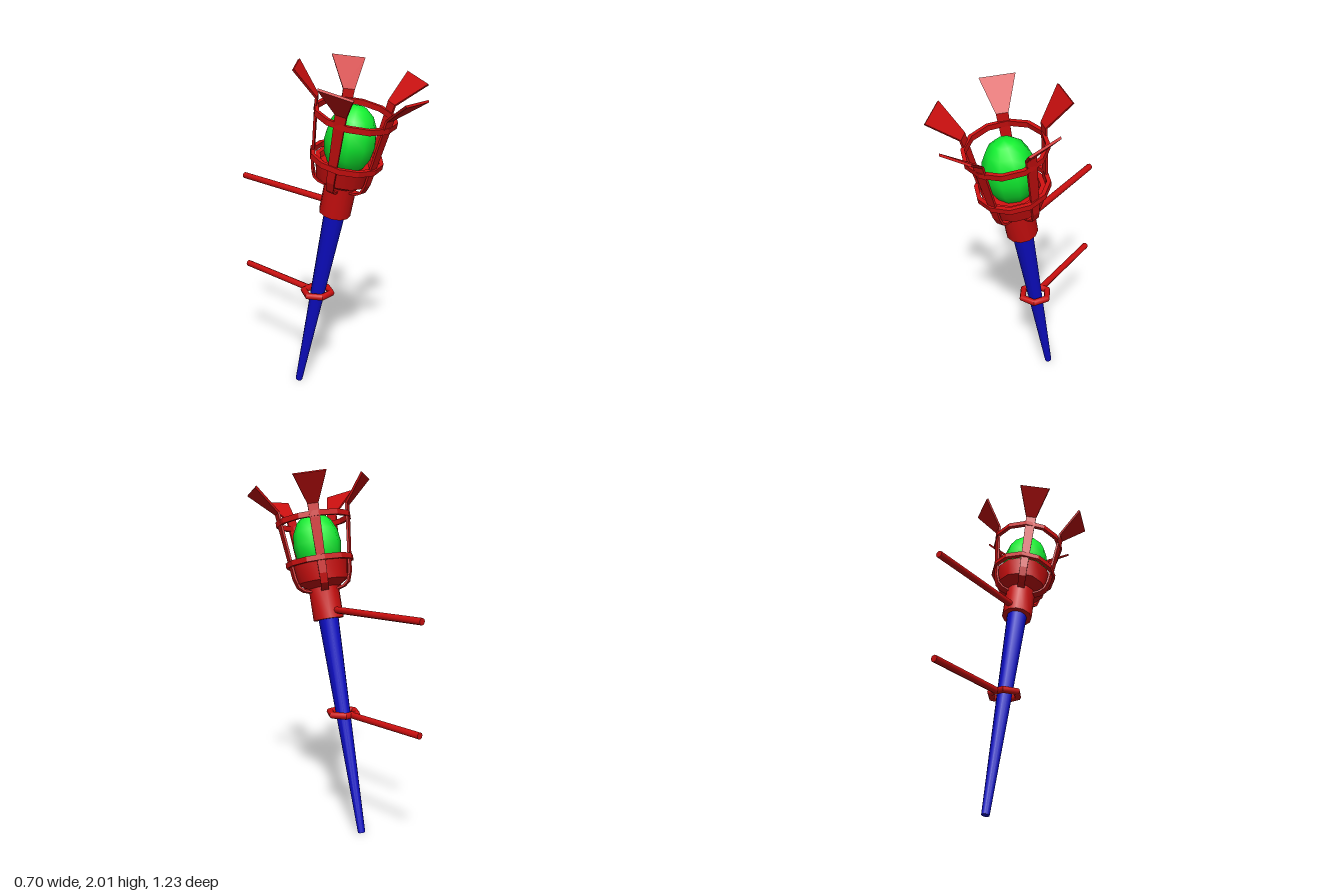
import * as THREE from 'three';
import { toCreasedNormals } from 'three/addons/utils/BufferGeometryUtils.js';

const V = (x, y) => new THREE.Vector2(x, y);
const red = new THREE.MeshStandardMaterial({ color: 0xcc0f0f });
const blue = new THREE.MeshStandardMaterial({ color: 0x0d0dc8 });
const green = new THREE.MeshStandardMaterial({ color: 0x10f030 });

function add(parent, name, geometry, material, y = 0, z = 0) {
  const mesh = new THREE.Mesh(geometry, material);
  mesh.name = name;
  mesh.position.set(0, y, z);
  parent.add(mesh);
  return mesh;
}

// Flat hoop with a rectangular section
function hoop(radius, height, thickness) {
  const i = radius - thickness, h = height / 2;
  const profile = [V(i, -h), V(radius, -h), V(radius, h), V(i, h), V(i, -h)];
  return toCreasedNormals(new THREE.LatheGeometry(profile, 12), 0.3);
}

// Bent strap: a thin side profile, extruded and then flared towards the tip
function prongGeometry() {
  const path = [V(0.07, 1.385), V(0.12, 1.398), V(0.148, 1.42), V(0.165, 1.47),
    V(0.2, 1.768), V(0.208, 1.846), V(0.335, 1.98)];
  const half = 0.006;
  const sides = [1, -1].map(sign => path.map((p, i) => {
    const a = path[Math.max(i - 1, 0)], b = path[Math.min(i + 1, path.length - 1)];
    const d = b.clone().sub(a).normalize();
    return V(p.x + d.y * half * sign, p.y - d.x * half * sign);
  }));
  const shape = new THREE.Shape([...sides[0], ...sides[1].reverse()]);
  const geometry = new THREE.ExtrudeGeometry(shape, { depth: 1, bevelEnabled: false });
  geometry.translate(0, 0, -0.5);
  const pos = geometry.attributes.position;
  for (let i = 0; i < pos.count; i++) {
    const y = pos.getY(i);
    const neck = THREE.MathUtils.clamp((y - 1.45) / 0.396, 0, 1);
    const flare = Math.max(0, (y - 1.846) / 0.134);
    pos.setZ(i, pos.getZ(i) * (0.042 + 0.018 * neck + 0.12 * flare));
  }
  geometry.rotateY(-Math.PI / 2);
  geometry.computeVertexNormals();
  return geometry;
}

export function createModel() {
  const model = new THREE.Group();
  model.name = 'wallTorch';

  // Everything on the leaning axis
  const torch = new THREE.Group();
  torch.name = 'torch';
  torch.position.set(0, 0.005, -0.18);
  torch.rotation.x = THREE.MathUtils.degToRad(13.6);
  model.add(torch);

  add(torch, 'handle', toCreasedNormals(new THREE.CylinderGeometry(0.059, 0.021, 1.26, 12), 0.8), blue, 0.63);

  // Collar widening into the cup
  const cup = [V(0, 1.225), V(0.087, 1.225), V(0.087, 1.405), V(0.145, 1.44), V(0.165, 1.545), V(0.14, 1.545), V(0.13, 1.52), V(0, 1.52)];
  add(torch, 'collarAndCup', toCreasedNormals(new THREE.LatheGeometry(cup, 12), 0.55), red);

  // Flame body
  const flame = new THREE.SphereGeometry(0.137, 10, 8);
  flame.scale(1, 1.37, 1);
  add(torch, 'flame', flame, green, 1.655);

  // Cage
  add(torch, 'lowerHoop', hoop(0.195, 0.03, 0.022), red, 1.554);
  add(torch, 'upperHoop', hoop(0.216, 0.03, 0.02), red, 1.79);
  const prong = prongGeometry();
  for (let i = 0; i < 5; i++) {
    add(torch, 'prong', prong, red).rotation.y = i * Math.PI * 2 / 5;
  }

  // Wall bracket: two level rods and a ring around the handle
  const rod = (name, y, front) => {
    const length = front + 0.613;
    const geometry = new THREE.CylinderGeometry(0.019, 0.019, length, 8);
    geometry.rotateX(Math.PI / 2);
    add(model, name, toCreasedNormals(geometry, 0.9), red, y, front - length / 2);
  };
  rod('upperRod', 1.254, 0.08);
  rod('lowerRod', 0.673, -0.09);
  const ring = new THREE.TorusGeometry(0.081, 0.02, 8, 6);
  ring.rotateX(Math.PI / 2);
  add(model, 'handleRing', toCreasedNormals(ring, 0.9), red, 0.673, -0.02);

  return model;
}
